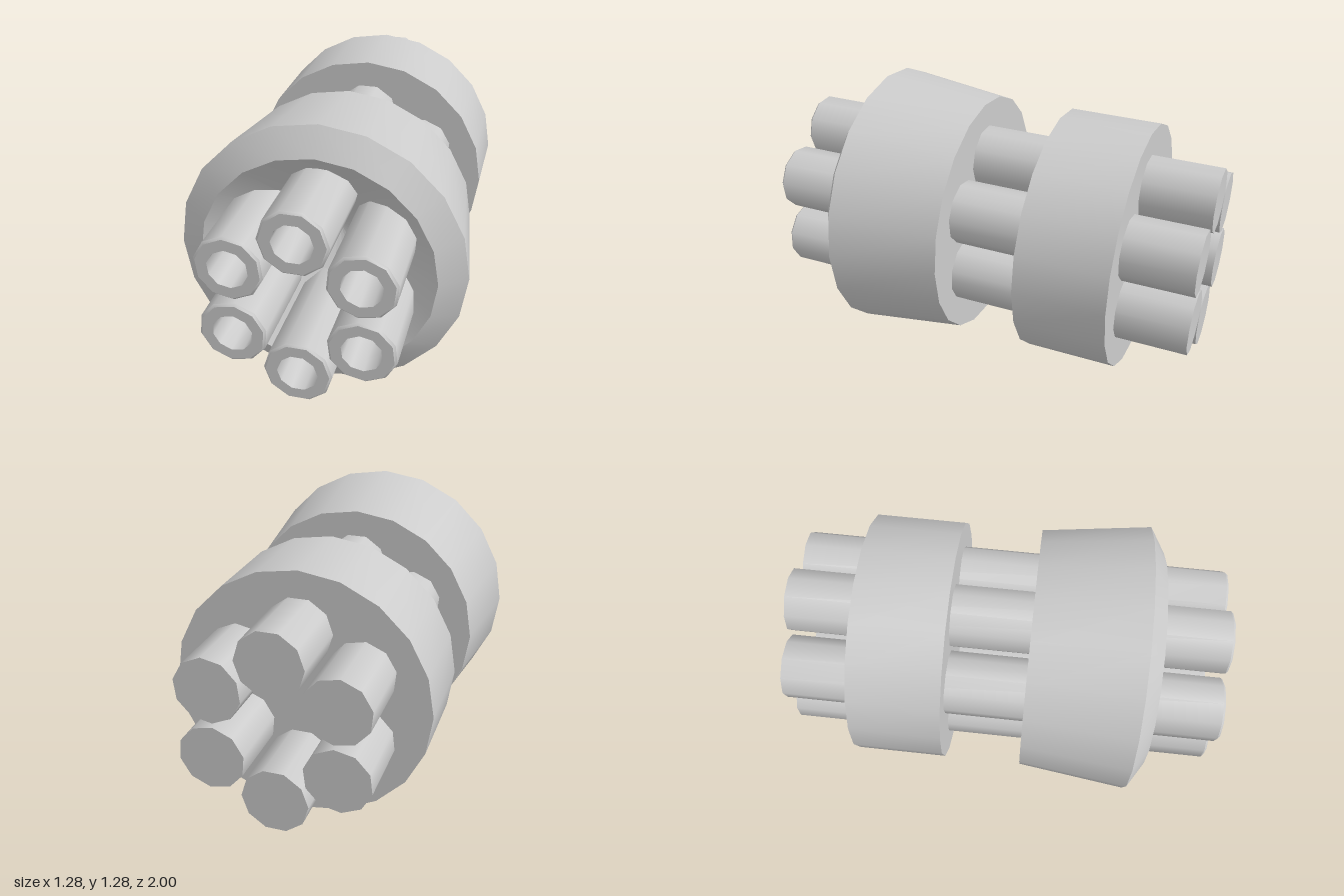
import * as THREE from 'three';
import { toCreasedNormals } from 'three/addons/utils/BufferGeometryUtils.js';

const material = new THREE.MeshStandardMaterial({ color: 0xcccccc });

// Turns a [radius, z] profile around the z axis, keeping hard edges sharp
function turned(name, profile, sides, phiStart = 0) {
  const points = profile.map(([r, z]) => new THREE.Vector2(r, z));
  const geometry = new THREE.LatheGeometry(points, sides, phiStart).rotateX(Math.PI / 2);
  const mesh = new THREE.Mesh(toCreasedNormals(geometry, 0.75), material);
  mesh.name = name;
  return mesh;
}

export function createModel() {
  const model = new THREE.Group();
  model.name = 'barrelCluster';
  const assembly = new THREE.Group();
  assembly.name = 'assembly';
  assembly.position.y = 0.64;
  model.add(assembly);

  // Flared front collar with a chamfered lip and a dished face
  assembly.add(turned('frontCollar', [
    [0, 0.11], [0.575, 0.11], [0.638, 0.615], [0.52, 0.69], [0, 0.3],
  ], 20));

  // Plain rear clamp ring
  assembly.add(turned('rearCollar', [
    [0, -0.675], [0.575, -0.675], [0.575, -0.255], [0, -0.255],
  ], 20));

  // Six barrels, each bored from the muzzle down to the dished face
  const barrelProfile = [
    [0, -1], [0.147, -1], [0.147, 0.99], [0.137, 1], [0.087, 1], [0.087, 0.44],
  ];
  for (let i = 0; i < 6; i++) {
    const angle = i * Math.PI / 3;
    const barrel = turned('barrel' + (i + 1), barrelProfile, 10, Math.PI / 2);
    barrel.position.set(-Math.sin(angle) * 0.313, Math.cos(angle) * 0.313, 0);
    barrel.rotation.z = angle;
    assembly.add(barrel);
  }
  return model;
}
